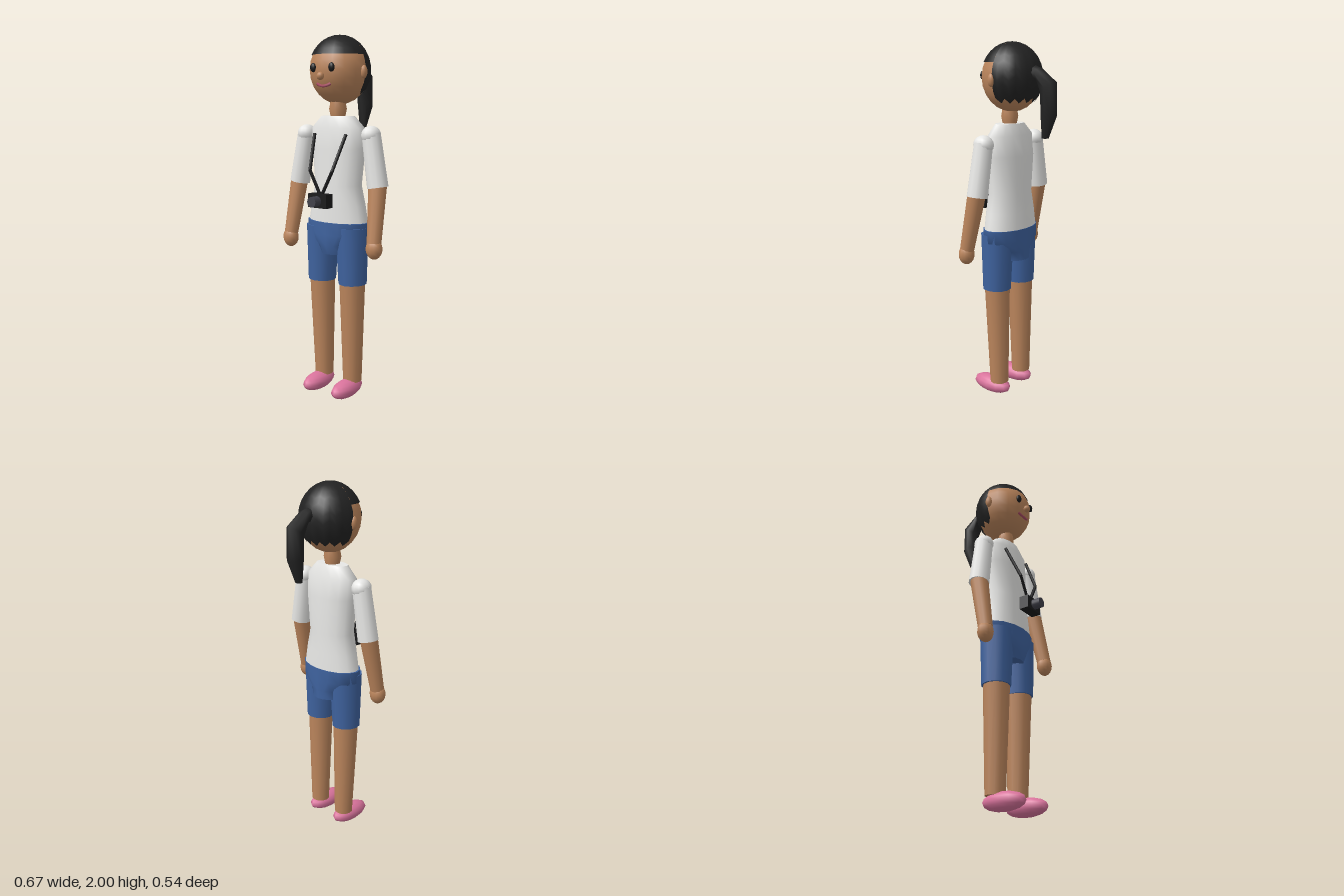
import * as THREE from 'three';

const mat = (name, color, side = THREE.FrontSide) => {
  const m = new THREE.MeshStandardMaterial({ color, side });
  m.name = name;
  return m;
};
const V = (x, y, z) => new THREE.Vector3(x, y, z);

// Closed skin over rings [centre, half-width in x, half-depth vector], listed from top to bottom
function loft(rings, n) {
  const pos = [], idx = [];
  const put = (c, rx, d, j) => {
    const t = (j / n) * Math.PI * 2, s = Math.sin(t);
    pos.push(c.x + rx * Math.cos(t), c.y + d.y * s, c.z + d.z * s);
  };
  rings.forEach(([c, rx, d], i) => {
    for (let j = 0; j < n; j++) {
      put(c, rx, d, j);
      if (i === rings.length - 1) continue;
      const a = i * n + j, b = i * n + (j + 1) % n;
      idx.push(a, b, a + n, b, b + n, a + n);
    }
  });
  [rings[0], rings[rings.length - 1]].forEach(([c, rx, d], end) => {
    const base = pos.length / 3;
    for (let j = 0; j < n; j++) put(c, rx, d, j);
    for (let j = 1; j < n - 1; j++) {
      if (end) idx.push(base, base + j, base + j + 1);
      else idx.push(base, base + j + 1, base + j);
    }
  });
  const g = new THREE.BufferGeometry();
  g.setAttribute('position', new THREE.Float32BufferAttribute(pos, 3));
  g.setIndex(idx);
  g.computeVertexNormals();
  return g;
}

export function createModel() {
  const root = new THREE.Group();
  root.name = 'figure';
  const skin = mat('skin', 0xbb855c);
  const shirt = mat('shirt white', 0xe6e6e4);
  const denim = mat('shorts blue', 0x3f639f);
  const pink = mat('shoe pink', 0xd9739c);
  const hair = mat('hair black', 0x222222, THREE.DoubleSide);
  const black = mat('camera black', 0x1a1a1b);
  const grey = mat('lens grey', 0x41414a);
  const lip = mat('lip', 0xa84c62);

  const add = (name, geo, m, p = V(0, 0, 0)) => {
    const o = new THREE.Mesh(geo, m);
    o.name = name;
    o.position.copy(p);
    root.add(o);
    return o;
  };
  const ball = (name, m, p, rx, ry, rz, w = 12, h = 10) =>
    add(name, new THREE.SphereGeometry(1, w, h).scale(rx, ry, rz), m, p);
  // Tapered cylinder from a (upper) to b (lower)
  const limb = (name, m, a, b, ra, rb, n = 12) => {
    const d = a.clone().sub(b);
    const o = add(name, new THREE.CylinderGeometry(ra, rb, d.length(), n), m, a.clone().add(b).multiplyScalar(0.5));
    o.quaternion.setFromUnitVectors(V(0, 1, 0), d.normalize());
    return o;
  };
  const level = ([y, rx, rz, z]) => [V(0, y, z), rx, V(0, 0, rz)];

  // Torso and neck
  add('torso', loft([
    [1.572, 0.105, 0.057, 0.037], [1.51, 0.168, 0.08, 0.035], [1.4, 0.165, 0.094, 0.03],
    [1.2, 0.142, 0.1, 0.035], [1.09, 0.168, 0.107, 0.034], [0.99, 0.186, 0.111, 0.034],
  ].map(level), 16), shirt);
  add('neck', loft([
    [1.66, 0.038, 0.04, 0.037], [1.61, 0.048, 0.048, 0.037], [1.565, 0.038, 0.04, 0.037],
  ].map(level), 10), skin);

  // Shorts seat, narrowing between the legs
  add('shortsSeat', loft([
    [1.0, 0.193, 0.115, 0.036], [0.93, 0.19, 0.115, 0.036],
    [0.87, 0.11, 0.115, 0.036], [0.82, 0.1, 0.105, 0.028],
  ].map(level), 16), denim);

  // Head and face
  const headAt = V(0, 1.815, 0.02);
  ball('head', skin, headAt, 0.163, 0.181, 0.163, 16, 12);
  ball('nose', skin, V(0, 1.78, 0.19), 0.02, 0.021, 0.02);
  const smile = new THREE.QuadraticBezierCurve3(V(-0.044, 1.742, 0.158), V(0, 1.716, 0.176), V(0.044, 1.742, 0.158));
  add('mouth', new THREE.TubeGeometry(smile, 8, 0.008, 6), lip);

  // Hair: short cap in front, long jagged shell behind the ears
  const R = [0.169, 0.185, 0.167];
  add('hairFront', new THREE.SphereGeometry(1, 8, 6, 0, Math.PI, 0, 1.136).scale(...R), hair, headAt);
  const back = new THREE.SphereGeometry(1, 16, 10, Math.PI, Math.PI, 0, 1);
  const p = back.attributes.position;
  for (let r = 0; r <= 10; r++) {
    for (let c = 0; c <= 16; c++) {
      const phi = Math.PI * (1 + c / 16);
      const low = 2.27 + (c % 2 ? 0.09 : -0.09);
      const t = (r / 10) * low;
      p.setXYZ(r * 17 + c, -Math.cos(phi) * Math.sin(t), Math.cos(t), Math.sin(phi) * Math.sin(t));
    }
  }
  back.scale(...R);
  back.computeVertexNormals();
  add('hairBack', back, hair, headAt);

  // Ponytail: each row is [front y, front z, back y, back z, half width]
  add('ponytail', loft([
    [1.81, -0.12, 1.88, -0.13, 0.04], [1.8, -0.158, 1.868, -0.165, 0.043],
    [1.735, -0.176, 1.8, -0.265, 0.043], [1.65, -0.178, 1.62, -0.268, 0.043],
    [1.505, -0.185, 1.505, -0.22, 0.02],
  ].map(([fy, fz, by, bz, w]) =>
    [V(0, (fy + by) / 2, (fz + bz) / 2), w, V(0, (fy - by) / 2, (fz - bz) / 2)]), 8), hair);

  // Paired parts
  for (const [s, side] of [[1, 'left'], [-1, 'right']]) {
    ball(side + 'Eye', black, V(s * 0.06, 1.824, 0.174), 0.018, 0.024, 0.013);
    ball(side + 'Ear', skin, V(s * 0.163, 1.803, 0.028), 0.018, 0.035, 0.02);

    ball(side + 'Shoulder', shirt, V(s * 0.217, 1.473, 0.037), 0.052, 0.051, 0.057);
    limb(side + 'Sleeve', shirt, V(s * 0.217, 1.48, 0.037), V(s * 0.266, 1.2, 0.043), 0.051, 0.057);
    limb(side + 'Forearm', skin, V(s * 0.266, 1.23, 0.043), V(s * 0.285, 0.91, 0.104), 0.05, 0.039);
    ball(side + 'Hand', skin, V(s * 0.287, 0.883, 0.106), 0.046, 0.056, 0.042);

    limb(side + 'ShortsLeg', denim, V(s * 0.1, 0.97, 0.045), V(s * 0.106, 0.655, 0.046), 0.092, 0.079);
    limb(side + 'Leg', skin, V(s * 0.104, 0.7, 0.046), V(s * 0.1, 0.085, 0.037), 0.073, 0.053);
    ball(side + 'Shoe', pink, V(s * 0.1, 0.053, 0.09), 0.059, 0.049, 0.127, 12, 8);

    // Neck strap
    const strap = [V(s * 0.105, 1.478, 0.108), V(s * 0.074, 1.285, 0.19), V(s * 0.005, 1.155, 0.19)];
    for (let i = 0; i < 2; i++) limb(side + 'Strap' + i, black, strap[i], strap[i + 1], 0.009, 0.009, 6);
  }

  // Camera
  add('cameraBody', new THREE.BoxGeometry(0.124, 0.074, 0.055), black, V(0, 1.127, 0.197));
  add('cameraLens', new THREE.CylinderGeometry(0.028, 0.028, 0.06, 12).rotateX(Math.PI / 2), grey, V(0, 1.127, 0.243));

  return root;
}
